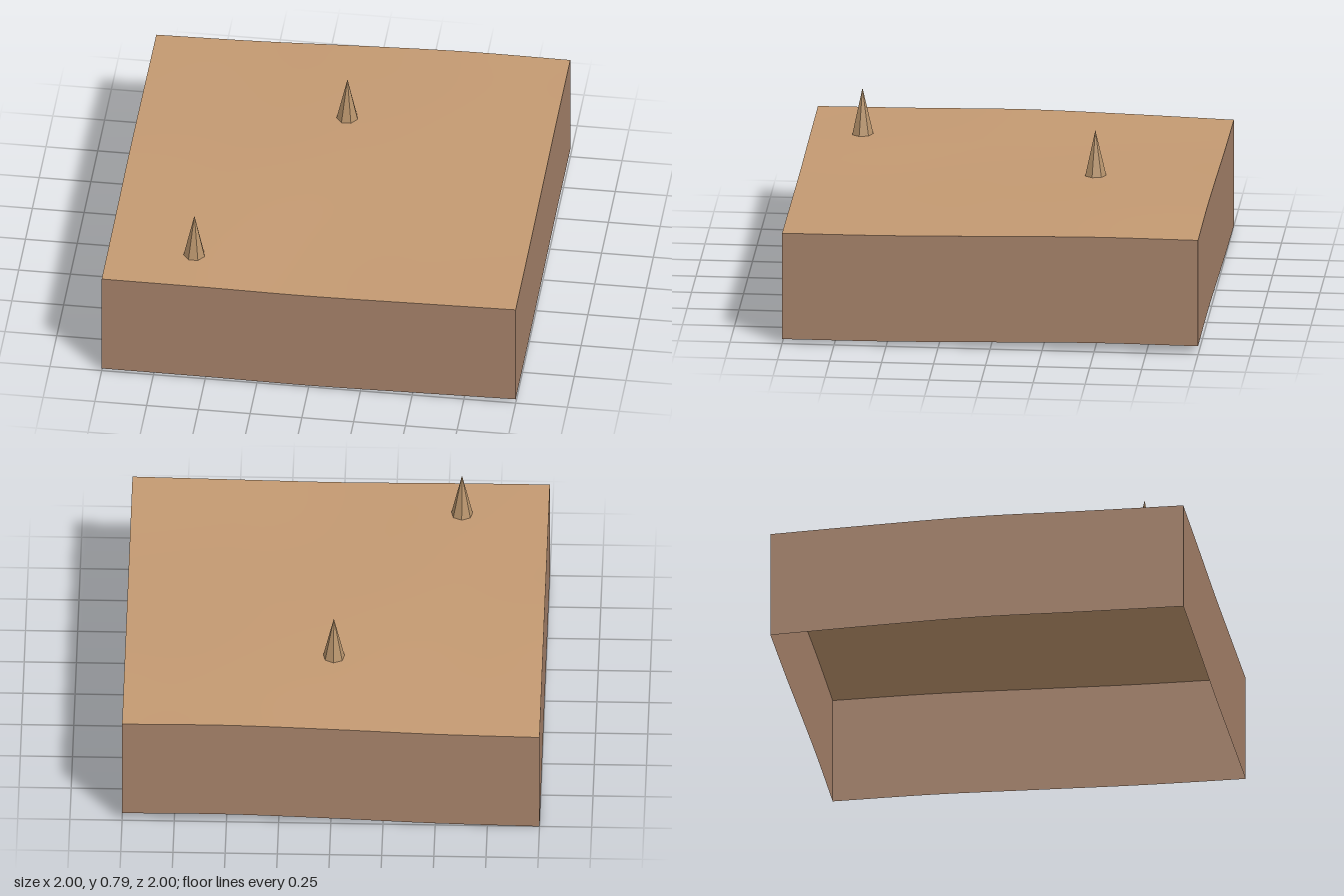
import * as THREE from 'three';

const DEPTH = 0.533; // wall height, constant around the block
const SEGMENTS = 32;

// Ground relief: rows run from back to front, columns from -x to +x
const RELIEF = [
  [0.000, 0.010, 0.030, 0.045, 0.043],
  [0.015, 0.018, 0.032, 0.044, 0.045],
  [0.025, 0.024, 0.027, 0.033, 0.035],
  [0.018, 0.022, 0.015, 0.020, 0.025],
  [0.013, 0.012, 0.008, 0.015, 0.023],
];

// Smooth interpolation through five evenly spaced values, t in -1..1
function smooth(values, t) {
  const s = THREE.MathUtils.clamp((t + 1) * 2, 0, 4);
  const i = Math.min(3, Math.floor(s));
  const f = s - i;
  const b = values[i], c = values[i + 1];
  const a = i > 0 ? values[i - 1] : 2 * b - c;
  const d = i < 3 ? values[i + 2] : 2 * c - b;
  return b + 0.5 * f * (c - a + f * (2 * a - 5 * b + 4 * c - d + f * (3 * (b - c) + d - a)));
}

const relief = (x, z) => smooth(RELIEF.map((row) => smooth(row, x)), z);

export function createModel() {
  const soil = new THREE.MeshStandardMaterial({ color: 0xc49a72, side: THREE.DoubleSide });
  soil.name = 'sand';
  const earth = new THREE.MeshStandardMaterial({ color: 0xa6826a, side: THREE.DoubleSide });
  earth.name = 'earth';
  const rock = new THREE.MeshStandardMaterial({ color: 0xb8946c, flatShading: true });
  rock.name = 'rock';

  const model = new THREE.Group();
  model.name = 'terrainBlock';
  const add = (name, geometry, material) => {
    const mesh = new THREE.Mesh(geometry, material);
    mesh.name = name;
    model.add(mesh);
    return mesh;
  };

  // Gently rolling top surface
  const ground = new THREE.PlaneGeometry(2, 2, SEGMENTS, SEGMENTS).rotateX(-Math.PI / 2);
  const g = ground.attributes.position;
  for (let i = 0; i < g.count; i++) g.setY(i, DEPTH + relief(g.getX(i), g.getZ(i)));
  ground.computeVertexNormals();
  add('ground', ground, soil);

  // Four walls following the relief, open underneath
  ['frontWall', 'leftWall', 'backWall', 'rightWall'].forEach((name, k) => {
    const wall = new THREE.PlaneGeometry(2, DEPTH, SEGMENTS, 1)
      .translate(0, DEPTH / 2, 1).rotateY(k * Math.PI / 2);
    const p = wall.attributes.position;
    for (let i = 0; i < p.count; i++) p.setY(i, p.getY(i) + relief(p.getX(i), p.getZ(i)));
    add(name, wall, earth);
  });

  // Seven-sided rock spikes standing on the ground
  [[-0.585, 0.75, 0.78], [0, -0.42, 0.79]].forEach(([x, z, tip], i) => {
    const base = DEPTH + relief(x, z) - 0.003;
    const spike = add('spike' + (i + 1), new THREE.ConeGeometry(0.053, tip - base, 7), rock);
    spike.position.set(x, (tip + base) / 2, z);
    spike.rotation.y = Math.PI;
  });

  return model;
}
